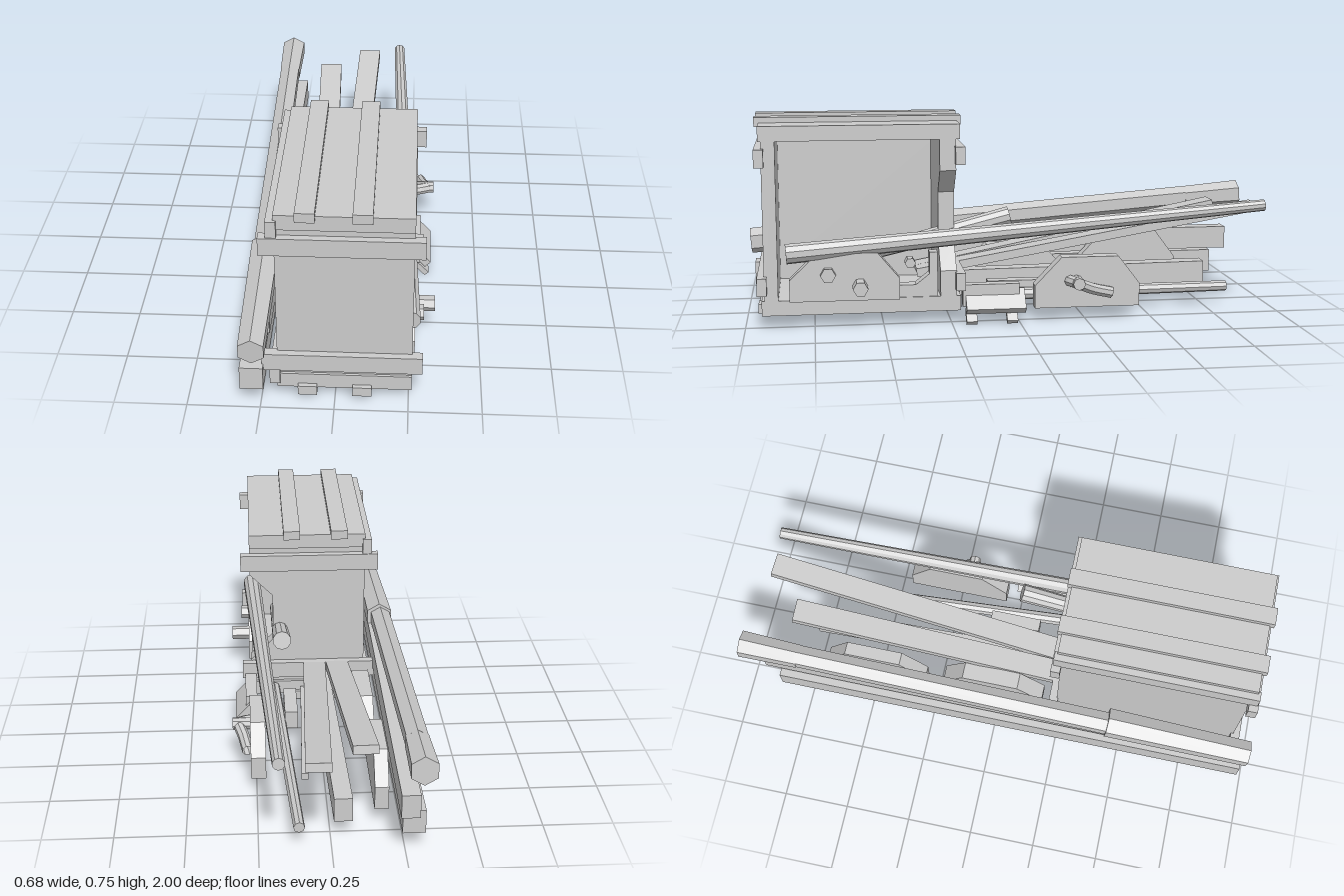
import * as THREE from 'three';

const mat = new THREE.MeshStandardMaterial({ color: 0xcccccc, flatShading: true, side: THREE.DoubleSide });

export function createModel() {
  const root = new THREE.Group();

  const add = (name, geo) => {
    const m = new THREE.Mesh(geo, mat);
    m.name = name;
    root.add(m);
    return m;
  };
  // box given by its limits on each axis
  const box = (name, x0, x1, y0, y1, z0, z1) => {
    const m = add(name, new THREE.BoxGeometry(x1 - x0, y1 - y0, z1 - z0));
    m.position.set((x0 + x1) / 2, (y0 + y1) / 2, (z0 + z1) / 2);
    return m;
  };
  // tapered bar between two points
  const rod = (name, a, b, ra, rb, sides = 8) => {
    const p = new THREE.Vector3(...a), q = new THREE.Vector3(...b);
    const d = q.clone().sub(p);
    const m = add(name, new THREE.CylinderGeometry(rb, ra, d.length(), sides));
    m.position.copy(p).add(q).multiplyScalar(0.5);
    m.quaternion.setFromUnitVectors(new THREE.Vector3(0, 1, 0), d.normalize());
    return m;
  };
  // board of rectangular section between two points
  const board = (name, a, b, w, h) => {
    const p = new THREE.Vector3(...a), q = new THREE.Vector3(...b);
    const m = add(name, new THREE.BoxGeometry(w, h, p.distanceTo(q)));
    m.position.copy(p).add(q).multiplyScalar(0.5);
    m.lookAt(q);
    return m;
  };
  // plate with a (z, y) outline, thick along x
  const plate = (name, pts, x0, x1) => {
    const s = new THREE.Shape(pts.map(([z, y]) => new THREE.Vector2(-z, y)));
    const m = add(name, new THREE.ExtrudeGeometry(s, { depth: x1 - x0, bevelEnabled: false }));
    m.rotation.y = Math.PI / 2;
    m.position.x = x0;
    return m;
  };

  // Crate, open on its left side
  box('crateTop', -0.195, 0.26, 0.685, 0.74, 0.215, 0.94);
  box('crateBottom', -0.195, 0.26, 0.05, 0.105, 0.215, 0.94);
  box('crateSideWall', -0.195, -0.14, 0.105, 0.685, 0.23, 0.93);
  box('crateFrontWall', -0.14, 0.26, 0.105, 0.685, 0.88, 0.93);

  // Rear wall with a chamfered notch
  const rear = new THREE.Shape([
    [-0.14, 0.105], [0.26, 0.105], [0.26, 0.2], [0.17, 0.29], [0.17, 0.48],
    [0.26, 0.57], [0.26, 0.685], [-0.14, 0.685],
  ].map(p => new THREE.Vector2(...p)));
  add('crateRearWall', new THREE.ExtrudeGeometry(rear, { depth: 0.06, bevelEnabled: false })).position.z = 0.23;

  // Rails round the crate and battens over top and bottom
  for (const y of [0.13, 0.595]) {
    box('frontRail', -0.245, 0.295, y, y + 0.065, 0.92, 0.955);
    box('rearRail', -0.245, 0.295, y, y + 0.065, 0.2, 0.235);
  }
  for (const y of [0.07, 0.655]) box('sideRail', -0.22, -0.185, y, y + 0.065, 0.205, 0.95);
  for (const x of [-0.0925, 0.0925])
    for (const y of [0.03, 0.725])
      box('batten', x - 0.0325, x + 0.0325, y, y + 0.035, 0.2, 0.957);

  // Long six-sided pole with thick butt and head
  rod('poleShaft', [-0.282, 0.28, 0.44], [-0.292, 0.373, -0.78], 0.044, 0.044, 6);
  rod('poleButt', [-0.276, 0.235, 0.995], [-0.278, 0.28, 0.44], 0.05, 0.057, 6);
  rod('poleHead', [-0.292, 0.37, -0.77], [-0.292, 0.385, -0.995], 0.046, 0.052, 6);

  // Bars leaning out through the notch
  rod('longBar', [0.25, 0.275, 0.85], [0.18, 0.405, -0.96], 0.037, 0.022, 10);
  rod('shortBar', [0.15, 0.21, 0.72], [0.14, 0.38, 0.02], 0.024, 0.036, 10);
  rod('lowBar', [0.17, 0.085, 0.2], [0.11, 0.08, -0.835], 0.024, 0.02, 8);

  // Beams and rising planks
  board('lowerBeam', [-0.28, 0.11, 0.98], [-0.28, 0.112, -0.87], 0.08, 0.088);
  board('upperBeam', [-0.265, 0.21, 0.8], [-0.26, 0.21, -0.93], 0.065, 0.088);
  board('innerBeam', [-0.02, 0.105, 0.21], [-0.045, 0.11, -0.78], 0.065, 0.09);
  board('risingPlank', [0, 0.15, 0.36], [0.05, 0.385, -0.955], 0.088, 0.032);
  board('risingPlank', [-0.08, 0.15, 0.36], [-0.115, 0.375, -0.83], 0.088, 0.032);
  board('thinSlat', [0.05, 0.075, 0.2], [0.075, 0.08, -0.5], 0.025, 0.025);

  // Chamfered brackets
  const bracket = (z0, z1, y0, y1, x0, x1) => plate('bracket', [
    [z1, y0], [z1, y0 + (y1 - y0) * 0.45], [z1 - 0.1, y1],
    [z0 + 0.08, y1], [z0, y0 + (y1 - y0) * 0.45], [z0, y0],
  ], x0, x1);
  bracket(0.44, 0.84, 0.1, 0.275, 0.215, 0.268);
  bracket(-0.455, -0.06, 0.05, 0.24, 0.215, 0.27);
  bracket(-0.7, -0.3, 0.06, 0.255, -0.21, -0.16);
  bracket(-0.23, 0.17, 0.06, 0.22, -0.2, -0.135);
  plate('hookPlate', [[0.45, 0.105], [0.45, 0.15], [0.38, 0.15], [0.33, 0.19],
    [0.33, 0.27], [0.3, 0.27], [0.3, 0.105]], 0.2, 0.255);

  // Pegs on the brackets
  rod('peg', [0.24, 0.155, 0.585], [0.338, 0.155, 0.585], 0.028, 0.028, 6);
  rod('peg', [0.24, 0.2, 0.7], [0.298, 0.2, 0.7], 0.028, 0.028, 6);
  rod('peg', [0.2, 0.23, 0.4], [0.255, 0.23, 0.4], 0.02, 0.02, 6);

  // Bent handle on the rear bracket
  const bend = new THREE.CatmullRomCurve3([
    [0.26, 0.15, -0.19], [0.31, 0.15, -0.21], [0.295, 0.125, -0.27], [0.28, 0.105, -0.345],
  ].map(p => new THREE.Vector3(...p)));
  add('handle', new THREE.TubeGeometry(bend, 8, 0.022, 8));
  rod('handleTip', [0.26, 0.15, -0.215], [0.336, 0.15, -0.215], 0.023, 0.023, 8);

  // Tilted latch with two feet
  const latch = box('latch', 0.255, 0.315, 0.045, 0.13, -0.02, 0.2);
  latch.scale.set(0.5, 1.05, 1);
  latch.rotation.z = 0.75;
  for (const z of [0.03, 0.18]) board('latchFoot', [0.27, 0.055, z], [0.312, 0.012, z], 0.04, 0.02);
  box('latchBlock', 0.24, 0.285, 0.07, 0.15, 0.0, 0.21);
  box('smallBlock', 0.085, 0.135, 0.06, 0.13, -0.1, 0.1);

  return root;
}
